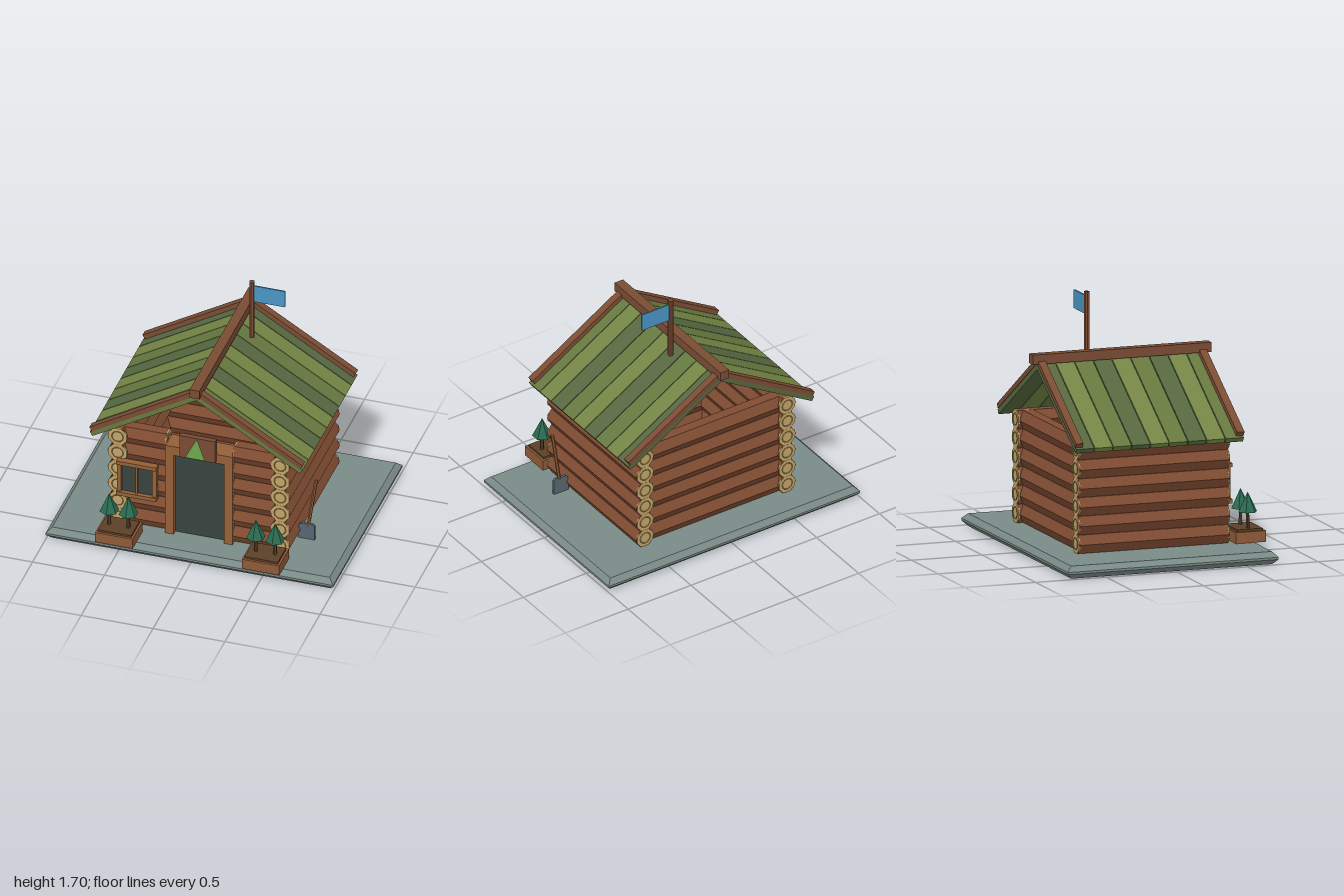
import * as THREE from 'three';

const mat = (color) => new THREE.MeshStandardMaterial({ color, flatShading: true });
const M = {
  slate: mat(0x7a8a86), log: mat(0x804c32), cut: mat(0xc2a468), ring: mat(0xa88850),
  trim: mat(0x946038), beam: mat(0x7a4c34), dark: mat(0x37423f), soil: mat(0x5c4028),
  planter: mat(0x8f5a38), pine: mat(0x2a6a50), emblem: mat(0x659a48), metal: mat(0x566670),
  flag: mat(0x4a94c4), roof: [mat(0x66783f), mat(0x748545), mat(0x566840)],
};

function add(parent, name, geometry, material, x = 0, y = 0, z = 0) {
  const mesh = new THREE.Mesh(geometry, material);
  mesh.name = name;
  mesh.position.set(x, y, z);
  parent.add(mesh);
  return mesh;
}

// Box given by its limits on each axis
function box(parent, name, material, [x0, x1], [y0, y1], [z0, z1]) {
  return add(parent, name, new THREE.BoxGeometry(x1 - x0, y1 - y0, z1 - z0), material,
    (x0 + x1) / 2, (y0 + y1) / 2, (z0 + z1) / 2);
}

function group(parent, name) {
  const g = new THREE.Group();
  g.name = name;
  parent.add(g);
  return g;
}

// Six-sided log along z with pale cut ends, each with a growth ring
function makeLog(length) {
  const g = new THREE.Group();
  g.name = 'log';
  const body = new THREE.CylinderGeometry(0.072, 0.072, length, 6);
  body.rotateX(Math.PI / 2).rotateZ(Math.PI / 6 + Math.PI / 3);
  // turn so that a ridge faces each side and the top is flat
  body.computeBoundingBox();
  if (body.boundingBox.max.y > body.boundingBox.max.x) body.rotateZ(Math.PI / 6);
  add(g, 'logBody', body, M.log);
  for (const s of [-1, 1]) {
    const cap = new THREE.CylinderGeometry(0.068, 0.068, 0.01, 8);
    cap.rotateY(Math.PI / 8).rotateX(Math.PI / 2);
    add(g, 'logEnd', cap, M.cut, 0, 0, s * length / 2);
    add(g, 'growthRing', new THREE.TorusGeometry(0.04, 0.004, 4, 12), M.ring, 0, 0, s * (length / 2 + 0.004));
  }
  return g;
}

function buildWalls(root) {
  const walls = group(root, 'logWalls');
  const place = (name, length, x, y, z, alongX) => {
    const log = makeLog(length);
    log.name = name;
    log.position.set(x, y, z);
    if (alongX) log.rotation.y = Math.PI / 2;
    walls.add(log);
  };
  for (let i = 0; i < 6; i++) {
    const y = 0.15 + i * 0.1265;
    place('backLog', 1.1, 0, y, -0.475, true);
    for (const s of [-1, 1]) {
      place('sideLog', 1.06, s * 0.565, y, -0.018, false);
      place('frontLog', 0.325, s * 0.3975, y, 0.44, true);
    }
  }
}

function buildRoof(root) {
  const roof = group(root, 'roof');
  const angle = 0.541, top = 1.265, planks = 9, z0 = -0.615, step = 1.19 / planks;
  for (const s of [-1, 1]) {
    const slope = group(roof, s > 0 ? 'leftSlope' : 'rightSlope');
    slope.position.y = top;
    slope.rotation.z = -s * angle;
    for (let i = 0; i < planks; i++) {
      add(slope, 'roofPlank', new THREE.BoxGeometry(0.863, 0.035, step - 0.006),
        M.roof[(planks - 1 - i) % 3], s * 0.4315, -0.0175, z0 + (i + 0.5) * step);
    }
    // thin layer closing the seams between planks
    add(slope, 'roofUnderlay', new THREE.BoxGeometry(0.855, 0.02, 1.18), M.roof[2], s * 0.4275, -0.0175, -0.02);
    for (const z of [-0.59, 0.55]) {
      add(slope, 'gableTrim', new THREE.BoxGeometry(0.845, 0.034, 0.052), M.beam, s * 0.4225, 0.017, z);
    }
  }
  box(roof, 'ridgeBeam', M.beam, [-0.034, 0.034], [1.265, 1.33], [-0.655, 0.61]);
}

function buildDoor(root) {
  const door = group(root, 'doorway');
  box(door, 'doorPanel', M.dark, [-0.18, 0.18], [0.085, 0.715], [0.44, 0.48]);
  for (const s of [-1, 1]) {
    add(door, 'doorPost', new THREE.BoxGeometry(0.06, 0.64, 0.14), M.trim, s * 0.205, 0.405, 0.45);
  }
  box(door, 'lintel', M.trim, [-0.235, 0.235], [0.715, 0.785], [0.38, 0.52]);
  box(door, 'signBoard', M.beam, [-0.125, 0.125], [0.735, 0.905], [0.515, 0.55]);
  const emblem = add(door, 'treeEmblem', new THREE.ConeGeometry(0.08, 0.135, 3), M.emblem, 0, 0.84, 0.56);
  emblem.rotation.y = Math.PI;
}

function buildWindow(root) {
  const win = group(root, 'window');
  box(win, 'windowPane', M.dark, [-0.55, -0.295], [0.36, 0.6], [0.5, 0.53]);
  for (const x of [-0.545, -0.425, -0.3]) {
    const w = x === -0.425 ? 0.007 : 0.015;
    box(win, 'windowUpright', M.trim, [x - w, x + w], [0.36, 0.6], [0.51, 0.547]);
  }
  for (const y of [0.358, 0.602]) {
    box(win, 'windowRail', M.trim, [-0.562, -0.283], [y - 0.014, y + 0.014], [0.51, 0.56]);
  }
}

function buildPlanter(root, x) {
  const g = group(root, 'planter');
  g.position.set(x, 0, 0.66);
  box(g, 'planterBox', M.planter, [-0.13, 0.13], [0.085, 0.16], [-0.106, 0.106]);
  box(g, 'planterSoil', M.soil, [-0.115, 0.115], [0.15, 0.175], [-0.09, 0.09]);
  for (const s of [-1, 1]) {
    add(g, 'treeTrunk', new THREE.CylinderGeometry(0.011, 0.013, 0.13, 6), M.soil, s * 0.067, 0.23, 0);
    add(g, 'treeCrown', new THREE.ConeGeometry(0.066, 0.135, 6), M.pine, s * 0.067, 0.352, 0);
  }
}

function buildShovel(root) {
  const g = group(root, 'shovel');
  const blade = new THREE.Shape([[0.62, 0.085], [0.735, 0.085], [0.735, 0.19], [0.72, 0.202], [0.64, 0.202], [0.625, 0.185]]
    .map(([x, y]) => new THREE.Vector2(x, y)));
  add(g, 'shovelBlade', new THREE.ExtrudeGeometry(blade, { depth: 0.02, bevelEnabled: false }), M.metal, 0, 0, 0.278);
  const handle = add(g, 'shovelHandle', new THREE.CylinderGeometry(0.012, 0.012, 0.39, 6), M.trim, 0.715, 0.37, 0.288);
  handle.rotation.z = -0.145;
}

export function createModel() {
  const root = new THREE.Group();
  root.name = 'logCabin';

  // Bevelled ground slab
  const slab = new THREE.Shape([[-1, -1], [1, -1], [1, 1], [-1, 1]]
    .map(([x, y]) => new THREE.Vector2(x * 0.965, y * 0.71)));
  const slabGeo = new THREE.ExtrudeGeometry(slab, {
    depth: 0.015, bevelThickness: 0.035, bevelSize: 0.035, bevelSegments: 1,
  });
  slabGeo.rotateX(-Math.PI / 2);
  add(root, 'groundSlab', slabGeo, M.slate, 0, 0.035, -0.025);

  buildWalls(root);
  buildRoof(root);
  buildDoor(root);
  buildWindow(root);
  buildPlanter(root, -0.51);
  buildPlanter(root, 0.51);
  buildShovel(root);

  // Flag
  const flag = group(root, 'flagAndPole');
  add(flag, 'flagPole', new THREE.CylinderGeometry(0.019, 0.019, 0.44, 8), M.beam, 0.135, 1.48, -0.21);
  box(flag, 'flagCloth', M.flag, [0.145, 0.365], [1.545, 1.67], [-0.215, -0.205]);
  return root;
}
